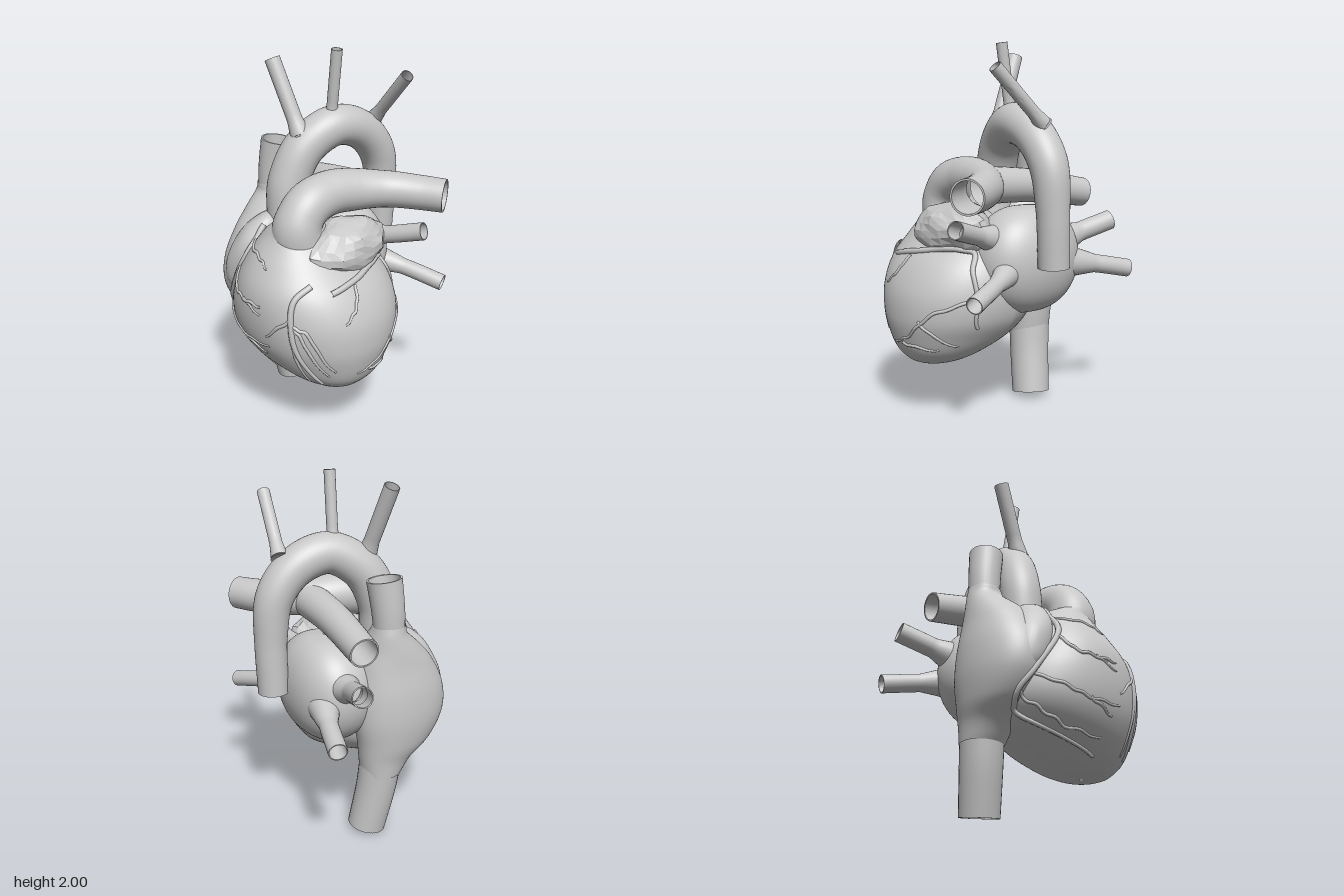
import * as THREE from 'three';
import { toCreasedNormals } from 'three/addons/utils/BufferGeometryUtils.js';

const V = (a) => new THREE.Vector3(...a);
const curveOf = (pts) => new THREE.CatmullRomCurve3(pts.map(V), false, 'catmullrom');

// Skin a list of closed rings
function skin(rings) {
  const n = rings[0].length, pos = [], index = [];
  rings.forEach((ring) => ring.forEach((p) => pos.push(p.x, p.y, p.z)));
  for (let i = 0; i < rings.length - 1; i++) {
    for (let j = 0; j < n; j++) {
      const k = (j + 1) % n, a = i * n + j, b = i * n + k;
      index.push(a, b, a + n, b, b + n, a + n);
    }
  }
  const g = new THREE.BufferGeometry();
  g.setAttribute('position', new THREE.Float32BufferAttribute(pos, 3));
  g.setIndex(index);
  g.computeVertexNormals();
  return g;
}

// Tapered vessel along a path, with a wall thickness at its open end
function vessel(path, radii, steps = 32, sides = 28, open = true) {
  const curve = curveOf(path), f = curve.computeFrenetFrames(steps);
  const radiusAt = (u) => {
    const s = u * (radii.length - 1), i = Math.min(Math.floor(s), radii.length - 2);
    return THREE.MathUtils.lerp(radii[i], radii[i + 1], s - i);
  };
  const ring = (i, k) => {
    const c = curve.getPointAt(i / steps), r = radiusAt(i / steps) * k;
    return Array.from({ length: sides }, (_, j) => {
      const a = (j / sides) * Math.PI * 2;
      return c.clone().addScaledVector(f.normals[i], r * Math.cos(a)).addScaledVector(f.binormals[i], r * Math.sin(a));
    });
  };
  const rings = [];
  for (let i = 0; i <= steps; i++) rings.push(ring(i, 1));
  if (!open) return skin(rings);
  for (let i = steps; i >= steps * 0.75; i--) rings.push(ring(i, 0.89));
  return toCreasedNormals(skin(rings), 0.8);
}

// Smooth body from level sections [y, xMin, xMax, zMin, zMax], lowest first;
// backPower shapes the corner towards -x and -z
function body(sections, power = 2, backPower = power, steps = 60, sides = 72) {
  const mid = curveOf(sections.map(([y, a, b, c, d]) => [(a + b) / 2, y, (c + d) / 2]));
  const half = curveOf(sections.map(([, a, b, c, d]) => [(b - a) / 2, 0, (d - c) / 2]));
  const bend = (v, p) => Math.sign(v) * Math.pow(Math.abs(v), 2 / p);
  const rings = [];
  for (let i = 0; i <= steps; i++) {
    const m = mid.getPoint(i / steps), h = half.getPoint(i / steps);
    rings.push(Array.from({ length: sides }, (_, j) => {
      const a = (j / sides) * Math.PI * 2, s = Math.sin(a), c = Math.cos(a);
      const p = s < 0 && c < 0 ? backPower : power;
      return new THREE.Vector3(m.x + h.x * bend(s, p), m.y, m.z + h.z * bend(c, p));
    }));
  }
  return skin(rings);
}

// Ellipsoid with gentle lumps, optionally faceted
function lump(centre, radii, rot, amount, detail, faceted) {
  let g = new THREE.SphereGeometry(1, detail, Math.round(detail * 0.6));
  const p = g.attributes.position, v = new THREE.Vector3();
  for (let i = 0; i < p.count; i++) {
    v.fromBufferAttribute(p, i);
    v.multiplyScalar(1 + amount * Math.sin(v.x * 5 + 1) * Math.sin(v.y * 6) * Math.cos(v.z * 7));
    p.setXYZ(i, v.x, v.y, v.z);
  }
  g.scale(...radii).rotateX(rot[0]).rotateY(rot[1]).rotateZ(rot[2]).translate(...centre);
  if (faceted) g = g.toNonIndexed();
  g.computeVertexNormals();
  return g;
}

export function createModel() {
  const model = new THREE.Group();
  model.name = 'heart';
  const tissue = new THREE.MeshStandardMaterial({ color: 0xc8c8c8, side: THREE.DoubleSide });
  tissue.name = 'pale grey tissue';
  const add = (name, geometry) => {
    const mesh = new THREE.Mesh(geometry, tissue);
    mesh.name = name;
    model.add(mesh);
    return mesh;
  };

  // Chambers; the left atrium is a rounded box made from level sections
  const atriumSections = Array.from({ length: 11 }, (_, i) => {
    const a = ((i / 10) * 2 - 1) * 1.56, k = Math.pow(Math.cos(a), 0.8);
    return [0.85 + 0.29 * Math.sin(a), -0.03 - 0.32 * k, -0.03 + 0.32 * k, -0.19 - 0.225 * k, -0.19 + 0.225 * k];
  });
  const chambers = [
    add('ventricles', body([
      [0.283, 0.31, 0.33, 0.14, 0.16], [0.29, 0.2, 0.44, 0.04, 0.27], [0.32, 0.09, 0.49, -0.04, 0.34],
      [0.37, -0.04, 0.53, -0.12, 0.41], [0.45, -0.22, 0.56, -0.2, 0.48], [0.56, -0.31, 0.58, -0.27, 0.535],
      [0.7, -0.31, 0.567, -0.29, 0.557], [0.84, -0.25, 0.5, -0.26, 0.545], [0.96, -0.18, 0.39, -0.17, 0.49],
      [1.09, -0.07, 0.27, 0.02, 0.405], [1.15, 0.03, 0.255, 0.14, 0.385],
    ], 2.15, 1.45)),
    add('rightAtrium', body([
      [0.37, -0.38, -0.15, -0.09, 0.13], [0.46, -0.395, -0.135, -0.1, 0.2], [0.56, -0.425, -0.11, -0.11, 0.32],
      [0.7, -0.445, -0.08, -0.13, 0.4], [0.85, -0.44, -0.06, -0.13, 0.4], [1.0, -0.415, -0.06, -0.11, 0.33],
      [1.1, -0.4, -0.08, -0.08, 0.24], [1.18, -0.385, -0.17, -0.05, 0.15], [1.23, -0.375, -0.205, -0.035, 0.135],
    ], 2.1)),
    add('rightAuricle', lump([-0.2, 0.88, 0.25], [0.13, 0.27, 0.175], [-0.2, 0, -0.38], 0.02, 44)),
    add('leftAtrium', body(atriumSections, 2.3)),
    add('leftAuricle', lump([0.272, 1.0, 0.06], [0.165, 0.155, 0.27], [0.1, 0.02, -0.25], 0.08, 22, true)),
  ];

  // Great veins
  add('superiorVenaCava', vessel([[-0.292, 1.18, 0.05], [-0.285, 1.32, 0.042], [-0.266, 1.472, 0.03]], [0.083, 0.094]));
  add('inferiorVenaCava', vessel([[-0.265, 0.42, 0.02], [-0.25, 0.25, 0], [-0.222, 0.02, -0.04]], [0.115, 0.105]));

  // Aorta and the branches of its arch
  add('aorta', vessel([
    [-0.07, 0.98, 0.12], [-0.088, 1.15, 0.125], [-0.088, 1.3, 0.11], [-0.055, 1.47, 0.03], [0.005, 1.57, -0.13],
    [0.035, 1.52, -0.31], [0.05, 1.37, -0.435], [0.05, 1.15, -0.467], [0.04, 0.845, -0.468],
  ], [0.115, 0.114, 0.112, 0.11, 0.102, 0.086, 0.082], 72, 36));
  [
    [[-0.05, 1.54, 0.06], [-0.222, 1.93, 0.1], 0.042],
    [[0.005, 1.6, -0.11], [0.06, 1.99, -0.095], 0.03],
    [[0.05, 1.57, -0.4], [0.33, 1.858, -0.34], 0.034],
  ].forEach(([a, b, r], i) => {
    add('archBranch' + (i + 1), vessel([a, b], [r * 1.4, r, r, r, r], 16, 20));
  });

  // Pulmonary trunk and arteries
  add('pulmonaryTrunk', vessel([
    [0.14, 1.02, 0.25], [0.147, 1.14, 0.27], [0.155, 1.24, 0.2], [0.165, 1.275, 0.06], [0.21, 1.27, -0.09],
    [0.31, 1.26, -0.24], [0.44, 1.25, -0.34], [0.565, 1.245, -0.405],
  ], [0.145, 0.124, 0.12, 0.115, 0.1, 0.094, 0.09], 64, 36));
  add('rightPulmonaryArtery', vessel([[0.24, 1.26, -0.14], [-0.1, 1.235, -0.165], [-0.45, 1.178, -0.207]], [0.1, 0.08]));

  // Pulmonary veins
  [
    ['rightUpperPulmonaryVein', [[-0.2, 0.91, -0.21], [-0.38, 0.955, -0.24], [-0.585, 1.015, -0.303]], 0.055],
    ['rightLowerPulmonaryVein', [[-0.18, 0.83, -0.29], [-0.38, 0.8, -0.375], [-0.583, 0.757, -0.442]], 0.05],
    ['leftUpperPulmonaryVein', [[0.12, 0.96, -0.18], [0.33, 1.01, -0.22], [0.535, 1.07, -0.28]], 0.048],
    ['leftLowerPulmonaryVein', [[0.12, 0.83, -0.25], [0.34, 0.78, -0.36], [0.555, 0.725, -0.44]], 0.045],
  ].forEach(([name, path, r]) => add(name, vessel(path, [r * 2, r * 1.5, r, r, r], 24, 24)));

  // Coronary vessels: flat paths dropped onto the chambers from the front or the left side
  model.updateMatrixWorld(true);
  const ray = new THREE.Raycaster();
  const coronary = (name, view, pts, r) => {
    const hits = [], n = pts.length * 5;
    const flat = curveOf(pts.map(([u, v]) => [u, v, 0]));
    for (let i = 0; i <= n; i++) {
      const p = flat.getPoint(i / n);
      if (r < 0.01) p.y += 0.005 * Math.sin(i * 1.3);
      if (view === 'front') ray.set(V([p.x, p.y, 2]), V([0, 0, -1]));
      else ray.set(V([2, p.y, p.x]), V([-1, 0, 0]));
      const hit = ray.intersectObjects(chambers)[0];
      if (hit) hits.push(hit.point.toArray());
    }
    if (hits.length > 2) add(name, vessel(hits, [r, r, r * 0.6], n * 2, 8, false));
  };
  const main = 0.016, thin = 0.009;

  coronary('rightCoronary', 'front', [[-0.085, 1.09], [-0.11, 0.92], [-0.25, 0.68], [-0.3, 0.58],
    [-0.27, 0.51], [-0.15, 0.435], [0.19, 0.335]], main);
  coronary('anteriorCoronary', 'front', [[0.37, 0.91], [0.34, 0.84], [0.35, 0.7], [0.365, 0.58], [0.42, 0.36]], main);
  coronary('circumflexCoronary', 'side', [[0.32, 0.87], [0.15, 0.9], [-0.12, 0.93], [-0.2, 0.82], [-0.24, 0.68], [-0.22, 0.53]], main);

  [
    [[-0.1, 1.02], [0.06, 1.0], [0.15, 0.96]],
    [[-0.13, 0.89], [-0.07, 0.8], [0.03, 0.78], [0.17, 0.73]],
    [[0.03, 0.78], [0.17, 0.78]],
    [[-0.26, 0.66], [-0.12, 0.6], [0.01, 0.56], [0.21, 0.56]],
    [[0.01, 0.56], [0.17, 0.5]],
    [[-0.29, 0.57], [-0.2, 0.5], [-0.05, 0.43], [0.16, 0.4]],
    [[0.35, 0.72], [0.4, 0.65], [0.47, 0.42]],
    [[0.35, 0.72], [0.43, 0.67], [0.5, 0.45]],
    [[0.35, 0.68], [0.36, 0.36]],
    [[0.34, 0.75], [0.2, 0.62]],
  ].forEach((pts, i) => coronary('frontBranch' + (i + 1), 'front', pts, thin));

  [
    [[-0.23, 0.68], [-0.07, 0.6], [0.08, 0.47], [0.22, 0.41]],
    [[0.0, 0.56], [-0.13, 0.42]],
    [[0.14, 0.42], [-0.06, 0.4]],
    [[0.17, 0.88], [0.22, 0.79], [0.3, 0.72]],
  ].forEach((pts, i) => coronary('sideBranch' + (i + 1), 'side', pts, thin));

  return model;
}
